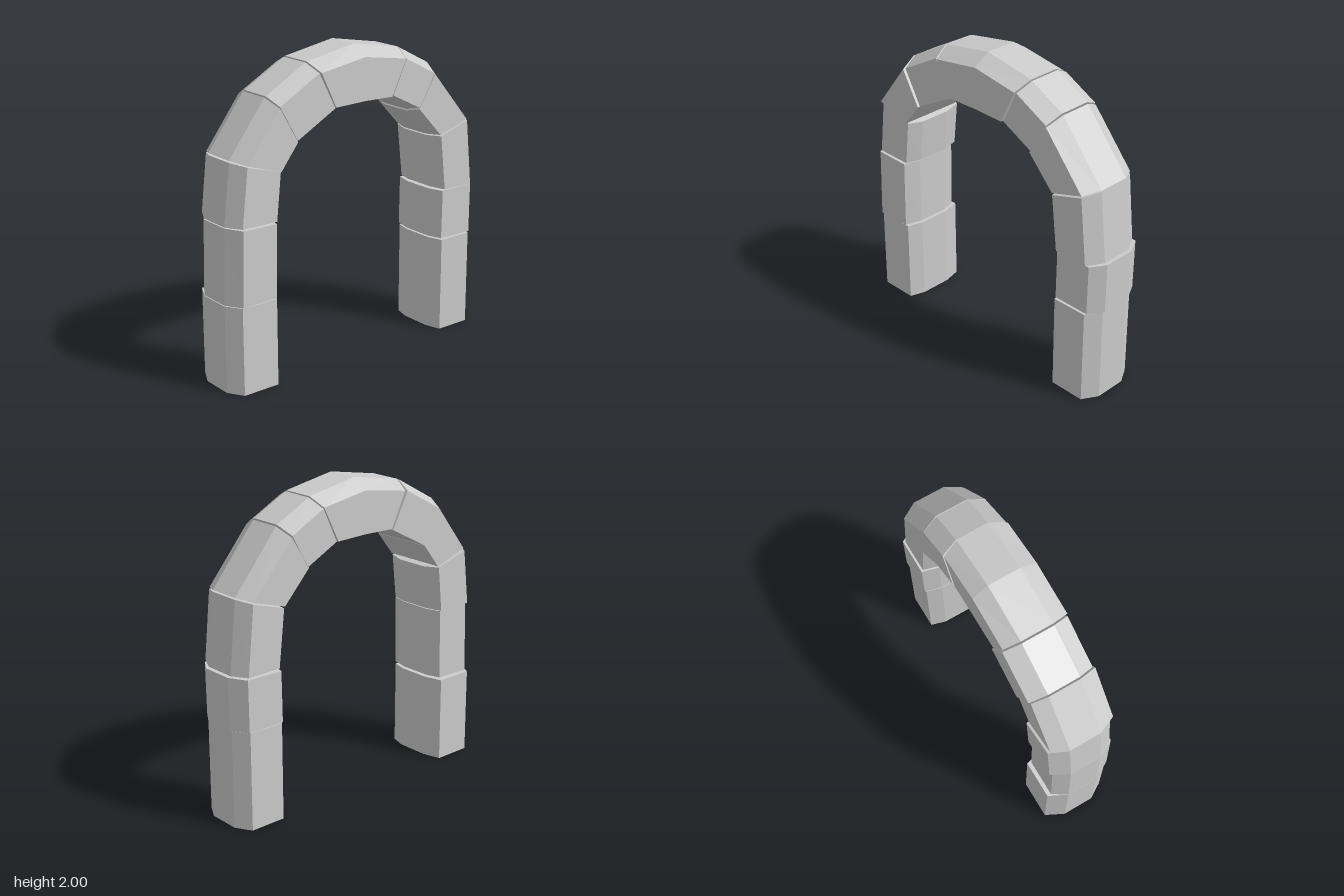
import * as THREE from 'three';

const stone = new THREE.MeshStandardMaterial({ color: 0xcccccc, flatShading: true });

// Eight-sided cross-section between an outer and an inner point of the arch ([z, y])
function section([oz, oy], [iz, iy], xMin, xMax, innerBevel) {
  const at = (x, t) => [x, iy + (oy - iy) * t, iz + (oz - iz) * t];
  return [
    at(xMax, innerBevel), at(xMax, 0.82), at(0.105, 1), at(-0.105, 1),
    at(xMin, 0.82), at(xMin, innerBevel), at(-0.105, 0), at(0.105, 0),
  ];
}

// Closed block skinned over its cross-sections
function stoneBlock(name, sections, xMin, xMax, innerBevel = 0.09) {
  const rings = sections.map(([outer, inner]) => section(outer, inner, xMin, xMax, innerBevel));
  const n = 8, last = (rings.length - 1) * n, index = [];
  for (let r = 0; r < last; r += n) {
    for (let k = 0; k < n; k++) {
      const a = r + k, b = r + (k + 1) % n;
      index.push(a, b + n, b, a, a + n, b + n);
    }
  }
  for (let k = 1; k < n - 1; k++) {
    index.push(0, k, k + 1, last, last + k + 1, last + k);
  }
  const geometry = new THREE.BufferGeometry();
  geometry.setAttribute('position', new THREE.Float32BufferAttribute(rings.flat(2), 3));
  geometry.setIndex(index);
  const flat = geometry.toNonIndexed();
  flat.computeVertexNormals();
  const mesh = new THREE.Mesh(flat, stone);
  mesh.name = name;
  return mesh;
}

export function createModel() {
  const arch = new THREE.Group();
  arch.name = 'stoneArch';
  arch.add(
    // front pillar, from the ground up
    stoneBlock('frontPillarBase', [[[0.98, 0], [0.64, 0]], [[0.98, 0.56], [0.64, 0.56]]], -0.225, 0.205),
    stoneBlock('frontPillarMiddle', [[[0.98, 0.565], [0.65, 0.572]], [[0.965, 1.04], [0.642, 1.032]]], -0.2, 0.215),
    stoneBlock('frontPillarTop', [[[0.965, 1.046], [0.63, 1.042]], [[0.92, 1.425], [0.6, 1.33]]], -0.22, 0.205),
    // front curve
    stoneBlock('frontLowerVoussoir', [[[0.92, 1.437], [0.635, 1.343]], [[0.665, 1.768], [0.512, 1.5]]], -0.205, 0.22, 0),
    stoneBlock('frontUpperVoussoir', [[[0.655, 1.773], [0.505, 1.505]], [[0.368, 1.933], [0.225, 1.655]]], -0.215, 0.208, 0),
    // keystone with a peaked back
    stoneBlock('keystone', [[[0.357, 1.937], [0.21, 1.633]], [[0, 2], [0, 1.633]], [[-0.35, 1.937], [-0.2, 1.633]]], -0.206, 0.215),
    // back curve
    stoneBlock('backUpperVoussoir', [[[-0.358, 1.932], [-0.218, 1.637]], [[-0.595, 1.808], [-0.44, 1.525]]], -0.21, 0.208),
    stoneBlock('backLowerVoussoir', [[[-0.603, 1.8], [-0.428, 1.52]], [[-0.91, 1.435], [-0.6, 1.34]]], -0.208, 0.212),
    // back pillar, from the top down
    stoneBlock('backPillarTop', [[[-0.912, 1.425], [-0.605, 1.33]], [[-0.958, 0.973], [-0.645, 0.978]]], -0.205, 0.215),
    stoneBlock('backPillarMiddle', [[[-0.978, 0.968], [-0.64, 0.963]], [[-0.975, 0.637], [-0.635, 0.64]]], -0.217, 0.2),
    stoneBlock('backPillarBase', [[[-0.96, 0.63], [-0.635, 0.63]], [[-0.96, 0], [-0.635, 0]]], -0.207, 0.207),
  );
  return arch;
}
